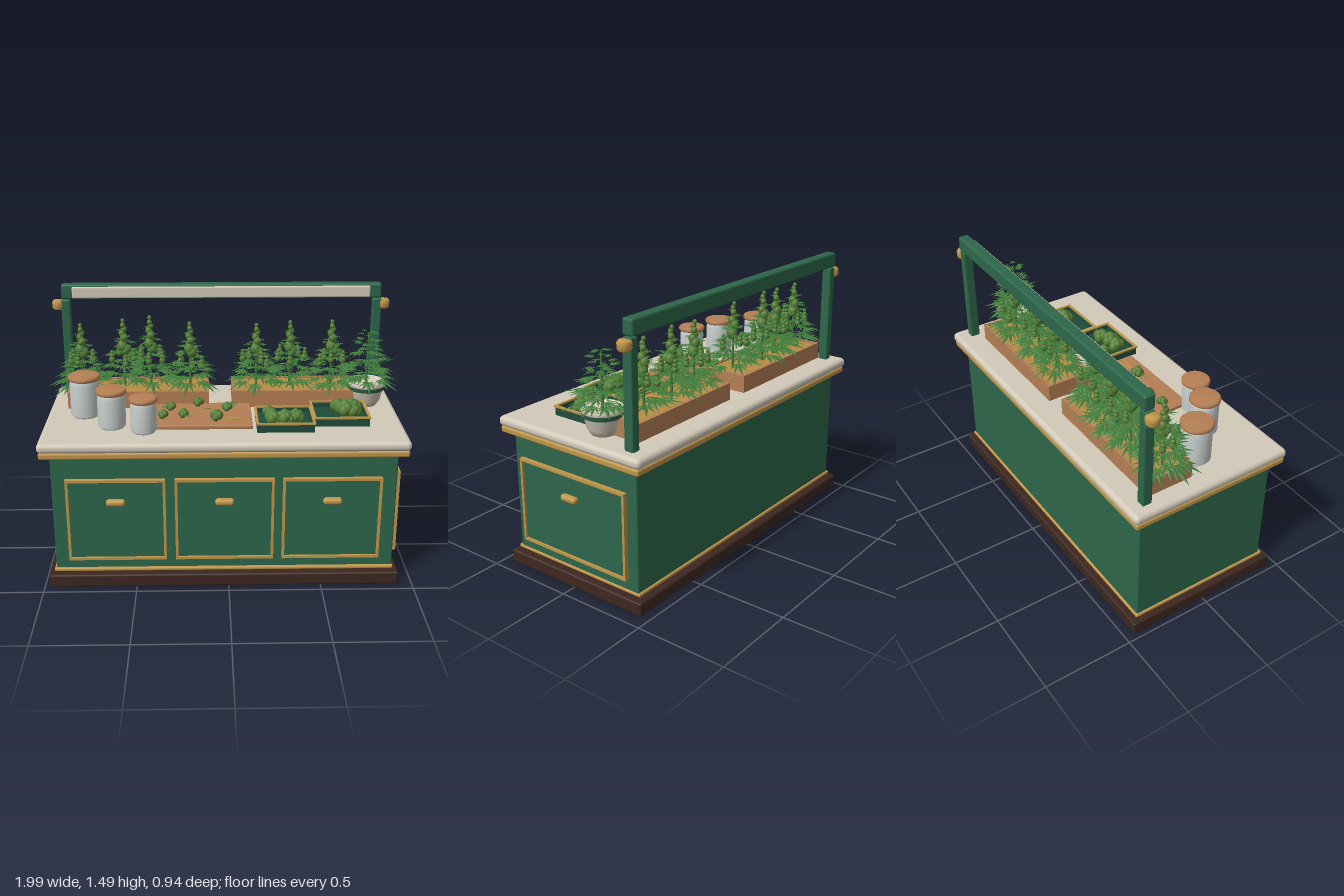
import * as THREE from 'three';
import { mergeGeometries } from 'three/addons/utils/BufferGeometryUtils.js';
import { RoundedBoxGeometry } from 'three/addons/geometries/RoundedBoxGeometry.js';

const mat = (name, color) => Object.assign(new THREE.MeshStandardMaterial({ color }), { name });

export function createModel() {
  const root = new THREE.Group();
  root.name = 'pottingBench';
  const green = mat('painted green', 0x2d664a), plinth = mat('dark wood', 0x3c271f);
  const brass = mat('brass', 0xc0964a), stone = mat('cream stone', 0xd2c9b8);
  const wood = mat('warm wood', 0xb57f54), glass = mat('pale glass', 0xc9d0ce);
  const trayGreen = mat('tray green', 0x1e4c39), soil = mat('ochre bedding', 0xb98c45);
  const leafMat = mat('leaf green', 0x3f7a38), budMat = mat('bud green', 0x557f36);
  leafMat.side = THREE.DoubleSide;

  let seed = 7;
  const rnd = (a, b) => {
    seed = (seed * 16807) % 2147483647;
    return a + (b - a) * (seed / 2147483647);
  };
  const add = (name, geo, material, x = 0, y = 0, z = 0, parent = root) => {
    const m = new THREE.Mesh(geo, material);
    m.name = name;
    m.position.set(x, y, z);
    parent.add(m);
    return m;
  };
  // box from its limits, rounded when r is given
  const box = (name, material, x0, x1, y0, y1, z0, z1, r = 0) => {
    const s = [x1 - x0, y1 - y0, z1 - z0];
    const geo = r ? new RoundedBoxGeometry(...s, 3, r) : new THREE.BoxGeometry(...s);
    return add(name, geo, material, (x0 + x1) / 2, (y0 + y1) / 2, (z0 + z1) / 2);
  };
  // rectangular ring, t wide, d deep along +z
  const frame = (w, h, t, d) => {
    const rect = (P, a, b) => new P([[-a, -b], [a, -b], [a, b], [-a, b]].map(p => new THREE.Vector2(...p)));
    const s = rect(THREE.Shape, w / 2, h / 2);
    s.holes.push(rect(THREE.Path, w / 2 - t, h / 2 - t));
    return new THREE.ExtrudeGeometry(s, { depth: d, bevelEnabled: false });
  };
  const flatFrame = (...a) => frame(...a).rotateX(-Math.PI / 2);

  // cabinet
  box('plinth', plinth, -0.97, 0.925, 0, 0.072, -0.45, 0.45, 0.01);
  box('plinthNeck', plinth, -0.93, 0.885, 0.07, 0.085, -0.405, 0.405);
  box('baseTrim', brass, -0.945, 0.895, 0.082, 0.102, -0.42, 0.425, 0.008);
  box('cabinetBody', green, -0.935, 0.89, 0.09, 0.757, -0.41, 0.41, 0.008);
  box('counterTrim', brass, -0.985, 0.938, 0.755, 0.792, -0.46, 0.46, 0.012);
  box('countertop', stone, -0.992, 0.945, 0.79, 0.845, -0.47, 0.47, 0.025);

  // doors with brass frame and pull
  const door = (w, x, z, turn) => {
    const g = new THREE.Group();
    g.name = 'door';
    add('doorPanel', new THREE.BoxGeometry(w - 0.02, 0.45, 0.02), green, 0, 0, 0.005, g);
    add('doorFrame', frame(w, 0.47, 0.014, 0.024), brass, 0, 0, 0.004, g);
    add('doorPull', new RoundedBoxGeometry(0.1, 0.036, 0.04, 4, 0.016), brass, 0, 0.11, 0.034, g);
    g.position.set(x, 0.395, z);
    g.rotation.y = turn;
    root.add(g);
  };
  for (const x of [-0.597, -0.023, 0.547]) door(0.525, x, 0.412, 0);
  door(0.705, 0.889, 0.003, Math.PI / 2);

  // lamp rail
  for (const [x, kx] of [[-0.91, -0.953], [0.865, 0.903]]) {
    box('railPost', green, x - 0.025, x + 0.025, 0.84, 1.398, -0.393, -0.338, 0.008);
    const knob = [[0, -0.027], [0.027, -0.027], [0.035, -0.017], [0.037, 0.012], [0.03, 0.025], [0, 0.028]];
    add('brassKnob', new THREE.LatheGeometry(knob.map(p => new THREE.Vector2(...p)), 20), brass, kx, 1.367, -0.367);
  }
  box('lampBeam', green, -0.932, 0.885, 1.403, 1.487, -0.398, -0.336, 0.012);
  box('lampStrip', stone, -0.87, 0.82, 1.41, 1.475, -0.345, -0.325, 0.008);

  // planter boxes
  for (const [x0, x1] of [[-0.89, -0.1], [0.03, 0.78]]) {
    const cx = (x0 + x1) / 2;
    add('planterWalls', flatFrame(x1 - x0, 0.265, 0.018, 0.095), wood, cx, 0.845, -0.202);
    box('planterBedding', soil, x0 + 0.015, x1 - 0.015, 0.85, 0.932, -0.32, -0.084);
  }

  // jars
  for (const [x, z, r, top] of [[-0.78, 0.035, 0.08, 1.08], [-0.62, 0.21, 0.075, 1.06], [-0.447, 0.285, 0.069, 1.04]]) {
    const h = top - 0.025 - 0.845;
    const wall = [[0, 0], [r - 0.01, 0], [r, 0.012], [r, h - 0.025], [r - 0.008, h]];
    add('jar', new THREE.LatheGeometry(wall.map(p => new THREE.Vector2(...p)), 28), glass, x, 0.845, z);
    const l = r + 0.007, lid = [[0, 0], [l - 0.006, 0], [l, 0.006], [l, 0.02], [l - 0.008, 0.027], [0, 0.028]];
    add('jarLid', new THREE.LatheGeometry(lid.map(p => new THREE.Vector2(...p)), 28), wood, x, top - 0.028, z);
  }

  // plant pot
  const potWall = [[0, 0], [0.06, 0], [0.082, 0.035], [0.095, 0.1], [0.105, 0.118], [0.107, 0.138], [0.096, 0.14], [0.09, 0.12], [0, 0.118]];
  add('pot', new THREE.LatheGeometry(potWall.map(p => new THREE.Vector2(...p)), 32), stone, 0.787, 0.845, -0.115);
  add('potBand', new THREE.CylinderGeometry(0.107, 0.1, 0.025, 32, 1, true), green, 0.787, 0.951, -0.115);

  // hand-shaped leaf along +z: drooping pointed leaflets on a stalk
  const leaf = (size, stalk, fingers = 7) => {
    const v = [];
    const half = (fingers - 1) / 2;
    for (let i = -half; i <= half; i++) {
      const a = i * 0.48, len = size * (1 - 0.19 * Math.abs(i)), w = len * 0.1;
      const at = (s, r) => [
        Math.sin(a) * r + Math.cos(a) * s,
        -0.35 * r * r / size - Math.abs(s) * 0.4,
        stalk + Math.cos(a) * r - Math.sin(a) * s,
      ];
      for (const s of [-w, w]) {
        const o = at(0, 0), m = at(0, len * 0.5), e = at(s, len * 0.45), tip = at(0, len);
        v.push(...(s < 0 ? [...o, ...e, ...m, ...e, ...tip, ...m] : [...o, ...m, ...e, ...e, ...m, ...tip]));
      }
    }
    v.push(-0.002, 0, 0, 0.002, 0, 0, 0, 0, stalk);
    const g = new THREE.BufferGeometry();
    g.setAttribute('position', new THREE.Float32BufferAttribute(v, 3));
    g.computeVertexNormals();
    return g;
  };
  const blob = (r, x, y, z, sy = 1.15) => new THREE.IcosahedronGeometry(r, 1).scale(1, sy, 1).translate(x, y, z);

  // leafy plant: tiers of leaves round a stem, with flower spikes when asked
  const plant = (name, x, z, base, top, spread, flowering) => {
    const g = new THREE.Group();
    g.name = name;
    g.position.set(x, base, z);
    root.add(g);
    const h = top - base, leaves = [], buds = [], tiers = flowering ? 6 : 7;
    add('stem', new THREE.CylinderGeometry(0.004, 0.008, h * 0.95, 6), leafMat, 0, h * 0.475, 0, g);
    for (let t = 0; t < tiers; t++) {
      const f = t / (tiers - 1), n = 8 - Math.floor(f * 3);
      const reach = spread * (1 - (flowering ? 0.58 : 0.65) * f);
      const y = h * (0.13 + (flowering ? 0.5 : 0.8) * f);
      for (let k = 0; k < n; k++) {
        const len = reach * rnd(0.85, 1.05);
        leaves.push(leaf(len * 0.62, len * 0.42)
          .rotateX(rnd(-0.25, 0.1) - f * 0.15)
          .rotateY((k + t * 0.5) / n * Math.PI * 2 + rnd(-0.2, 0.2))
          .translate(0, y + rnd(-0.012, 0.012), 0));
      }
    }
    if (flowering) {
      for (let i = 0; i < 8; i++) {
        const f = i / 7, r = 0.031 * (1 - 0.62 * f), a = i * 2.4;
        buds.push(blob(r, Math.cos(a) * r * 0.3, h * (0.55 + 0.42 * f), Math.sin(a) * r * 0.3));
      }
      for (let k = 0; k < 5; k++) {
        const a = k * 1.257 + rnd(0, 0.5), d = rnd(0.055, 0.085), y = h * rnd(0.36, 0.47);
        for (let i = 0; i < 3; i++) buds.push(blob(0.018 - i * 0.004, Math.cos(a) * d, y + i * 0.022, Math.sin(a) * d));
      }
      for (let k = 0; k < 6; k++) {
        leaves.push(leaf(0.05, 0.01, 3).rotateX(-0.3).rotateY(k * 2.4).translate(0, h * (0.6 + k * 0.05), 0));
      }
      add('flowerSpikes', mergeGeometries(buds), budMat, 0, 0, 0, g);
    }
    add('leaves', mergeGeometries(leaves), leafMat, 0, 0, 0, g);
  };
  const rows = [[-0.815, -0.195, 1.3], [-0.58, -0.22, 1.32], [-0.43, -0.23, 1.335], [-0.205, -0.185, 1.31],
    [0.17, -0.2, 1.295], [0.36, -0.2, 1.31], [0.597, -0.215, 1.31]];
  for (const [x, z, top] of rows) plant('floweringPlant', x, z, 0.925, top, 0.19, true);
  plant('pottedPlant', 0.787, -0.115, 0.955, 1.28, 0.2, false);

  // cutting board with trimmings
  box('cuttingBoard', wood, -0.41, 0.13, 0.845, 0.868, -0.085, 0.27, 0.006);
  const cluster = (x, y, z, r, n) => Array.from({ length: n }, (_, i) => {
    const a = i * 2.4, d = r * 0.6 * Math.sqrt(i / n);
    return blob(r * rnd(0.42, 0.55), x + Math.cos(a) * d, y + r * (0.95 - 0.5 * i / n), z + Math.sin(a) * d);
  });
  const loose = [[-0.31, 0.02], [-0.35, 0.14], [-0.24, 0.13], [-0.06, 0.18], [-0.16, -0.05], [0, 0.03]];
  add('boardBuds', mergeGeometries(loose.flatMap(([x, z], i) => cluster(x, 0.865, z, i === 3 ? 0.042 : 0.033, 7))), budMat);
  const cut = [[-0.12, 0.08, 2.6], [0.02, -0.05, 0.4], [-0.25, 0.14, 1.2], [-0.05, 0.19, 5], [-0.32, 0.04, 4]];
  add('trimmedLeaves', mergeGeometries(cut.map(([x, z, a]) => leaf(0.055, 0.01, 5).rotateY(a).translate(x, 0.89, z))), leafMat);
  for (const s of [-1, 1]) {
    const blade = add('snips', new THREE.BoxGeometry(0.12, 0.006, 0.008), brass, 0.05, 0.873, 0.185 + s * 0.009);
    blade.rotation.y = s * -0.14;
  }

  // trays
  const tray = (cx, cz, w, d, buds) => {
    add('trayWalls', flatFrame(w - 0.01, d - 0.01, 0.012, 0.045), trayGreen, cx, 0.845, cz);
    add('trayFloor', new THREE.BoxGeometry(w - 0.025, 0.018, d - 0.025), trayGreen, cx, 0.856, cz);
    add('trayRim', flatFrame(w, d, 0.013, 0.01), brass, cx, 0.888, cz);
    add('trayBuds', mergeGeometries(buds.flatMap(([x, z, r]) => cluster(x, 0.865, z, r, 9))), budMat);
  };
  tray(0.303, 0.19, 0.313, 0.272, [[0.225, 0.14, 0.045], [0.235, 0.235, 0.05], [0.3, 0.235, 0.055], [0.36, 0.215, 0.05]]);
  tray(0.61, 0.11, 0.305, 0.27, [[0.61, 0.08, 0.055], [0.68, 0.07, 0.055], [0.635, 0.13, 0.06], [0.68, 0.13, 0.05]]);

  return root;
}
